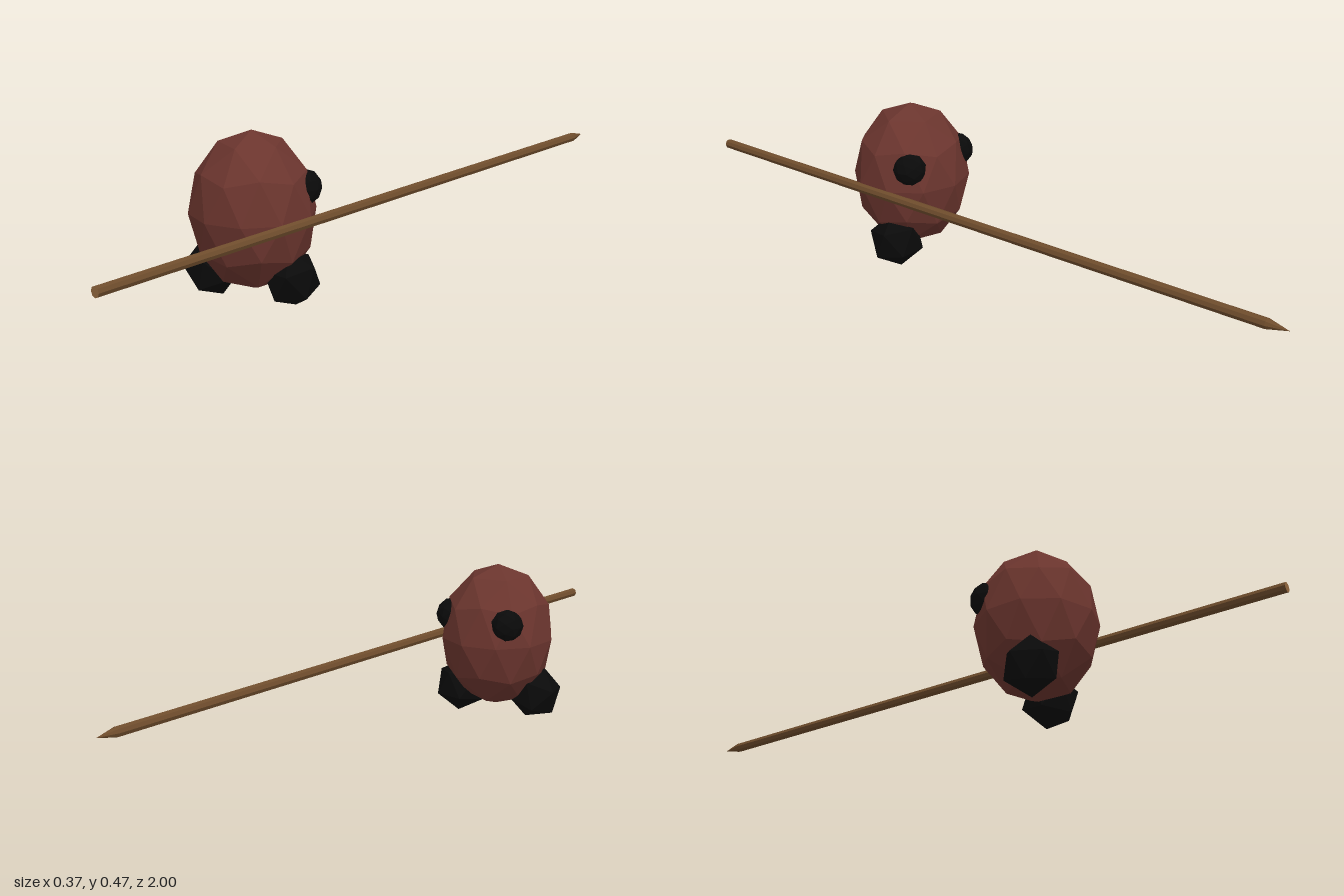
import * as THREE from 'three';

const paint = (name, color) => {
  const m = new THREE.MeshStandardMaterial({ color, flatShading: true });
  m.name = name;
  return m;
};

// Icosahedron turned so that a face looks along +z
function footGeometry(radius) {
  const z = new THREE.Vector3(1, 1, 1).normalize();
  const x = new THREE.Vector3(-1, (1 + Math.sqrt(5)) / 2, 0);
  x.addScaledVector(z, -x.dot(z)).normalize();
  const y = new THREE.Vector3().crossVectors(z, x);
  const turn = new THREE.Matrix4().makeBasis(x, y, z).transpose();
  return new THREE.IcosahedronGeometry(radius, 0).applyMatrix4(turn);
}

export function createModel() {
  const model = new THREE.Group();
  model.name = 'spearBearer';
  const skin = paint('redBrownSkin', 0x6b352e);
  const black = paint('black', 0x0a0a0a);
  const wood = paint('wood', 0x6e4c2c);
  const cutWood = paint('cutWood', 0x95693f);

  const add = (parent, name, geometry, material, x = 0, y = 0, z = 0) => {
    const mesh = new THREE.Mesh(geometry, material);
    mesh.name = name;
    mesh.position.set(x, y, z);
    parent.add(mesh);
    return mesh;
  };

  // Egg-shaped body with a vertex at the top
  const pole = Math.atan(2 / (1 + Math.sqrt(5)));
  const egg = new THREE.IcosahedronGeometry(1, 1).rotateZ(-pole).scale(0.173, 0.22, 0.173);
  add(model, 'body', egg, skin, 0, 0.257, 0.352);

  // Eyes, half sunk into the body and looking towards the spear tip
  for (const [side, s] of [['left', 1], ['right', -1]]) {
    add(model, side + 'Eye', new THREE.IcosahedronGeometry(0.05, 1), black, s * 0.103, 0.322, 0.262);
  }

  // Feet in mid-step
  add(model, 'leftFoot', footGeometry(0.082), black, 0.11, 0.083, 0.318).rotation.z = THREE.MathUtils.degToRad(-30);
  add(model, 'rightFoot', footGeometry(0.082), black, -0.113, 0.083, 0.4).rotation.z = THREE.MathUtils.degToRad(227);

  // Spear: long shaft with a pointed tip, raised slightly at the tip
  const spear = new THREE.Group();
  spear.name = 'spear';
  spear.position.set(0.166, 0.249, 0);
  spear.rotation.x = 0.008;
  model.add(spear);
  const r = 0.0145, tip = 0.06;
  const shaft = new THREE.CylinderGeometry(r, r, 2 - tip, 8).rotateX(-Math.PI / 2);
  add(spear, 'shaft', shaft, [wood, wood, cutWood], 0, 0, tip / 2);
  const point = new THREE.ConeGeometry(r, tip, 8).rotateX(-Math.PI / 2);
  add(spear, 'tip', point, wood, 0, 0, -1 + tip / 2);

  return model;
}
